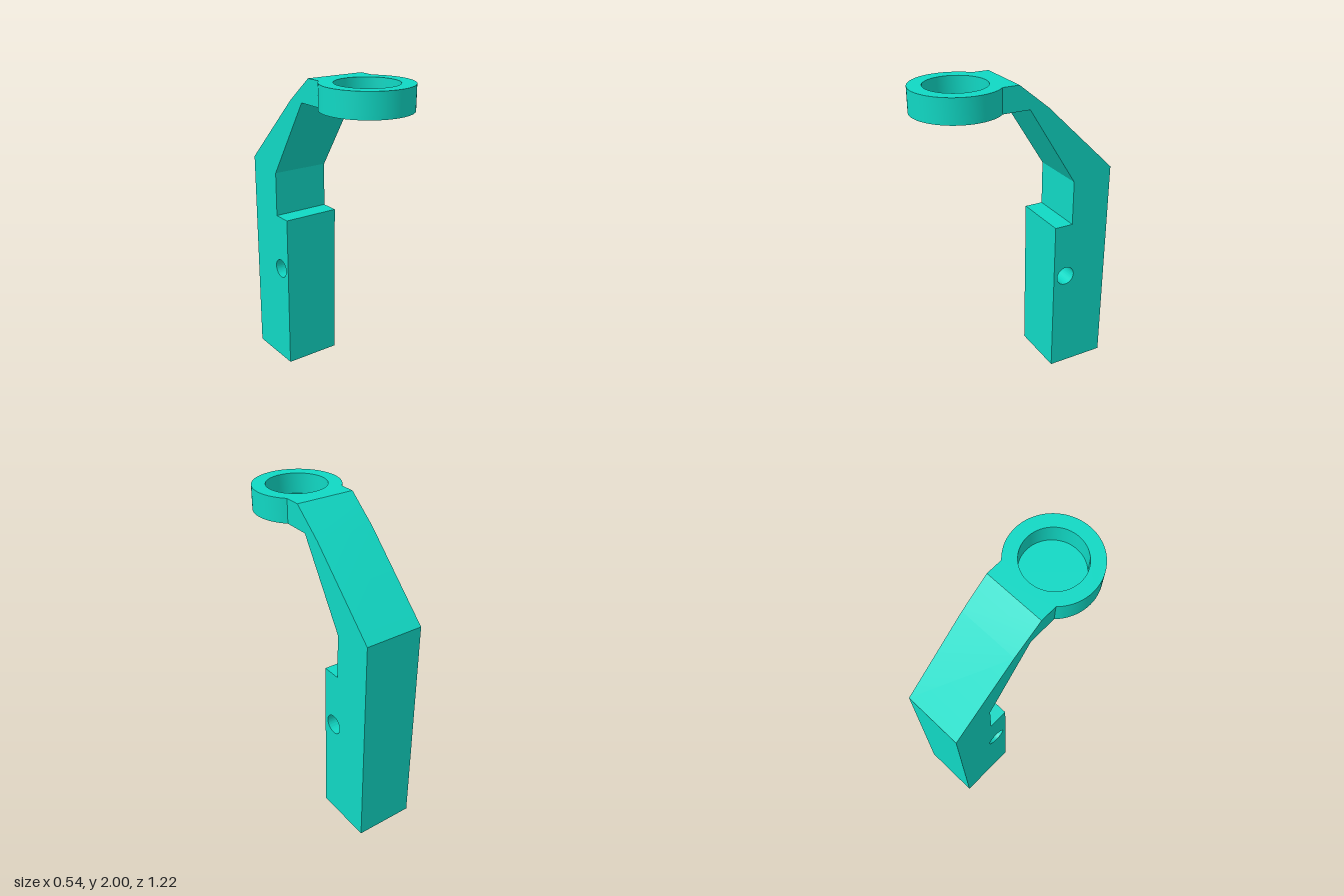
import * as THREE from 'three';
import { toCreasedNormals } from 'three/addons/utils/BufferGeometryUtils.js';

const HALF_WIDTH = 0.19;
const RING = { z: 0.342, outer: 0.271, inner: 0.187, bottom: 1.85, floor: 1.872, top: 2 };

// Drops the triangles lying on the ground, leaving the post open underneath
function openBottom(geometry) {
  const p = geometry.attributes.position;
  const kept = [];
  for (let i = 0; i < p.count; i += 3) {
    if (Math.max(p.getY(i), p.getY(i + 1), p.getY(i + 2)) < 0.001) continue;
    for (let j = i; j < i + 3; j++) kept.push(p.getX(j), p.getY(j), p.getZ(j));
  }
  const open = new THREE.BufferGeometry();
  open.setAttribute('position', new THREE.Float32BufferAttribute(kept, 3));
  return open;
}

// Side profile (z, y) of the post, sloping arm and neck, with the cross hole
function armGeometry(neckEnd) {
  const profile = new THREE.Shape([
    [-0.222, 0], [-0.222, 1.057], [-0.345, 1.057], [-0.345, 1.347],
    [-0.027, RING.bottom], [neckEnd, RING.bottom], [neckEnd, RING.top],
    [0.043, RING.top], [-0.15, 1.845], [-0.612, 1.4], [-0.612, 0],
  ].map(([z, y]) => new THREE.Vector2(z, y)));
  profile.holes.push(new THREE.Path().absarc(-0.309, 0.688, 0.062, 0, Math.PI * 2, true));
  const geometry = new THREE.ExtrudeGeometry(profile, {
    depth: HALF_WIDTH * 2, bevelEnabled: false, curveSegments: 32,
  });
  geometry.translate(0, 0, -HALF_WIDTH).rotateY(-Math.PI / 2);
  return toCreasedNormals(openBottom(geometry), 0.4);
}

// Disc cut flat where it meets the neck; optionally pierced for the cup wall
function discGeometry(from, to, pierced) {
  const cut = Math.acos(HALF_WIDTH / RING.outer);
  const outline = new THREE.Shape();
  outline.absarc(0, -RING.z, RING.outer, cut, Math.PI - cut, true);
  outline.closePath();
  if (pierced) {
    outline.holes.push(new THREE.Path().absarc(0, -RING.z, RING.inner, 0, Math.PI * 2, false));
  }
  const geometry = new THREE.ExtrudeGeometry(outline, {
    depth: to - from, bevelEnabled: false, curveSegments: 48,
  });
  geometry.rotateX(-Math.PI / 2).translate(0, from, 0);
  return toCreasedNormals(geometry, 0.4);
}

export function createModel() {
  const group = new THREE.Group();
  group.name = 'cupBracket';
  const material = new THREE.MeshStandardMaterial({ color: 0x10d8c4, side: THREE.DoubleSide });
  const add = (name, geometry) => {
    const mesh = new THREE.Mesh(geometry, material);
    mesh.name = name;
    group.add(mesh);
  };

  const neckEnd = RING.z - Math.sqrt(RING.outer ** 2 - HALF_WIDTH ** 2);
  add('postAndArm', armGeometry(neckEnd));
  add('cupFloor', discGeometry(RING.bottom, RING.floor, false));
  add('cupRing', discGeometry(RING.floor, RING.top, true));
  return group;
}
